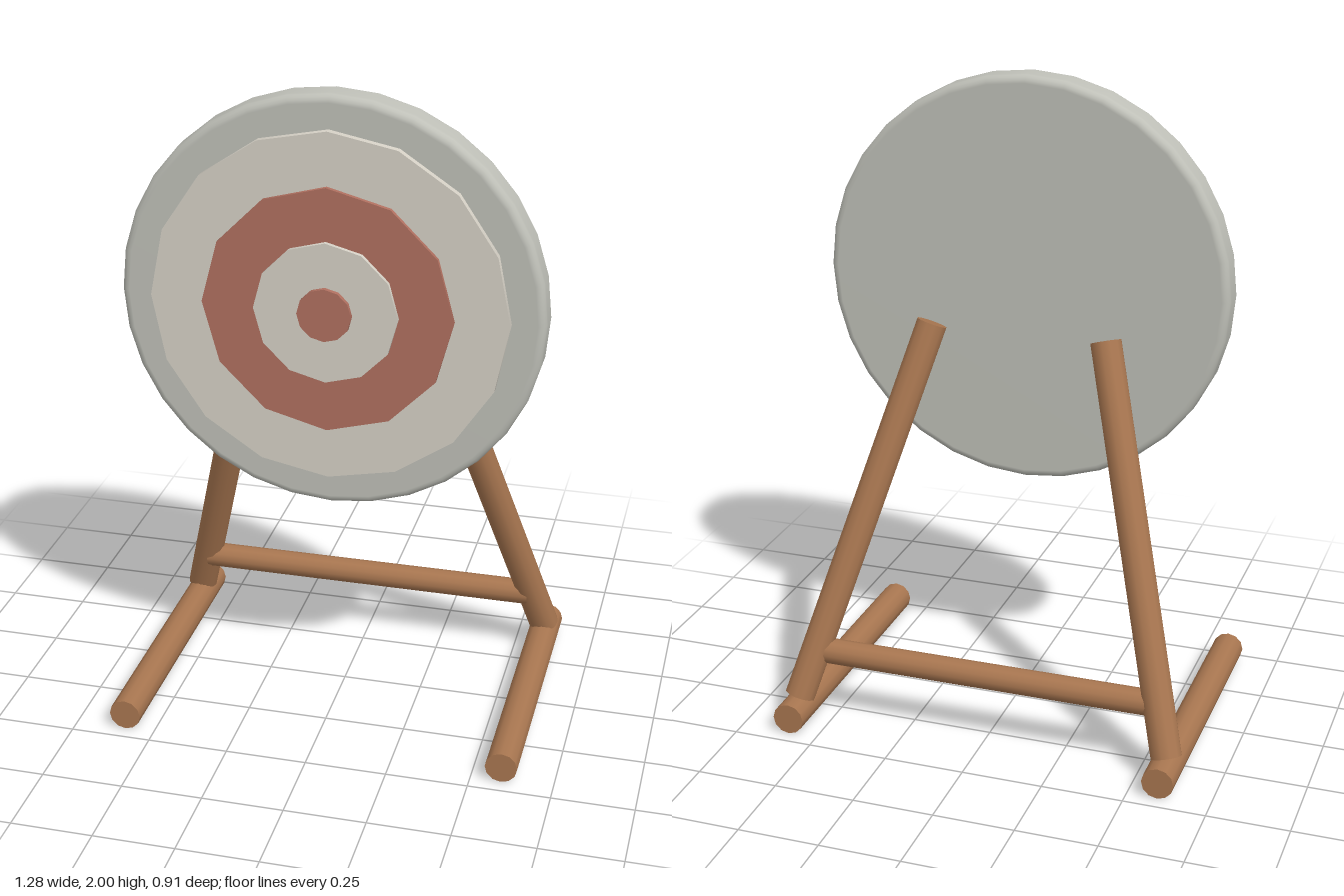
import * as THREE from 'three';

const paint = (color) => new THREE.MeshStandardMaterial({ color });

export function createModel() {
  const model = new THREE.Group();
  const wood = paint(0xa87650), cream = paint(0xd6d1c6), red = paint(0xb07060), straw = paint(0xbfc0b8);

  const add = (name, geometry, material) => {
    const mesh = new THREE.Mesh(geometry, material);
    mesh.name = name;
    model.add(mesh);
    return mesh;
  };

  // Round pole between two points
  const pole = (name, from, to, radius) => {
    const a = new THREE.Vector3(...from), b = new THREE.Vector3(...to);
    const dir = b.clone().sub(a);
    const mesh = add(name, new THREE.CylinderGeometry(radius, radius, dir.length(), 12), wood);
    mesh.position.copy(a).add(b).multiplyScalar(0.5);
    mesh.quaternion.setFromUnitVectors(new THREE.Vector3(0, 1, 0), dir.normalize());
  };

  // Stand: floor rails, leaning legs and crossbar
  for (const [side, s] of [['left', 1], ['right', -1]]) {
    pole(side + 'Rail', [s * 0.592, 0.049, -0.455], [s * 0.592, 0.049, 0.455], 0.049);
    pole(side + 'Leg', [s * 0.593, 0.085, -0.357], [s * 0.277, 1.23, 0.021], 0.048);
  }
  pole('crossbar', [-0.545, 0.225, -0.3], [0.545, 0.225, -0.3], 0.04);

  // Backing disc with a rounded rim
  const radius = 0.635, back = 0.082, front = 0.19, bevel = 0.025;
  const profile = [new THREE.Vector2(0, back)];
  for (const [z, start] of [[back + bevel, -Math.PI / 2], [front - bevel, 0]]) {
    for (let i = 0; i <= 4; i++) {
      const t = start + (i / 4) * Math.PI / 2;
      profile.push(new THREE.Vector2(radius - bevel + bevel * Math.cos(t), z + bevel * Math.sin(t)));
    }
  }
  profile.push(new THREE.Vector2(0, front));
  const disc = add('backingDisc', new THREE.LatheGeometry(profile, 32), straw);
  disc.rotation.x = Math.PI / 2;
  disc.position.y = 1.365;

  // Stacked target rings, each a little prouder than the last
  const rings = [
    ['outerRing', 0.535, 0.212, 16, cream],
    ['redRing', 0.375, 0.226, 12, red],
    ['innerRing', 0.215, 0.24, 12, cream],
    ['bullseye', 0.081, 0.255, 12, red],
  ];
  for (const [name, r, z, sides, material] of rings) {
    const depth = z - 0.17;
    const ring = add(name, new THREE.CylinderGeometry(r, r, depth, sides), material);
    ring.rotation.x = Math.PI / 2;
    ring.position.set(0, 1.365, z - depth / 2);
  }

  return model;
}
